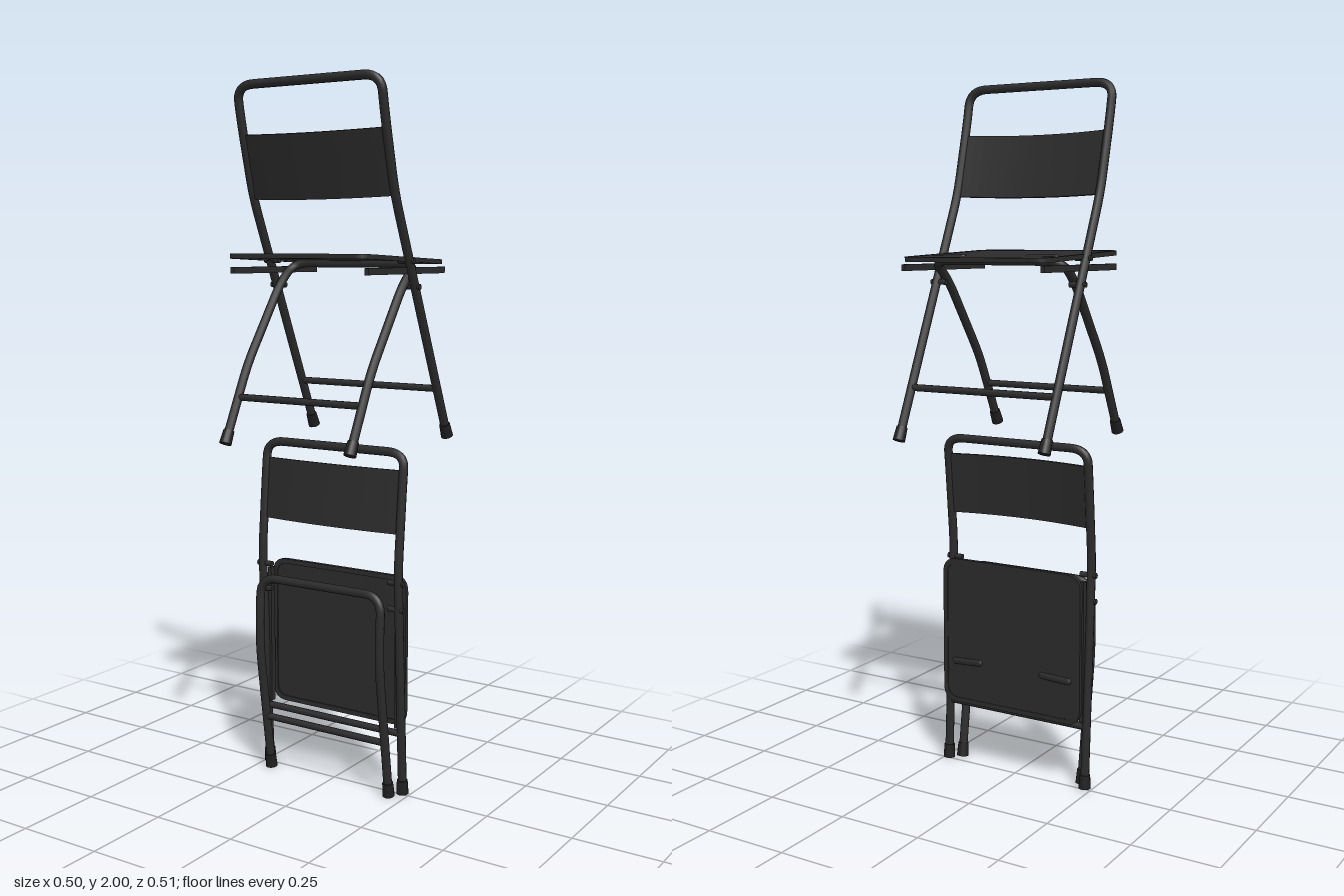
import * as THREE from 'three';

const V = (x, y, z) => new THREE.Vector3(x, y, z);
const steel = new THREE.MeshStandardMaterial({ color: 0x2b2b2b });
steel.name = 'charcoal steel';
const rubber = new THREE.MeshStandardMaterial({ color: 0x1f1f1f });
rubber.name = 'black rubber';

function add(parent, geometry, name, material = steel) {
  const mesh = new THREE.Mesh(geometry, material);
  mesh.name = name;
  parent.add(mesh);
  return mesh;
}

// Path of straight runs with rounded corners
function bentPath(points, radius) {
  const path = new THREE.CurvePath();
  let from = points[0];
  for (let i = 1; i < points.length - 1; i++) {
    const [a, p, b] = [points[i - 1], points[i], points[i + 1]];
    const start = p.clone().lerp(a, Math.min(0.49, radius / p.distanceTo(a)));
    const end = p.clone().lerp(b, Math.min(0.49, radius / p.distanceTo(b)));
    path.add(new THREE.LineCurve3(from, start));
    path.add(new THREE.QuadraticBezierCurve3(start, p, end));
    from = end;
  }
  path.add(new THREE.LineCurve3(from, points[points.length - 1]));
  return path;
}

// Inverted U of tube; profile runs from foot to top as [z, y]
function hoop(parent, x, profile, name) {
  const side = s => profile.map(([z, y]) => V(s * x, y, z));
  const path = bentPath([...side(-1), ...side(1).reverse()], 0.055);
  add(parent, new THREE.TubeGeometry(path, 220, 0.0125, 10), name);
  for (const s of [-1, 1]) {
    const [foot, next] = side(s);
    const dir = next.clone().sub(foot).normalize();
    const cap = add(parent, new THREE.CylinderGeometry(0.0155, 0.0175, 0.04, 14), name + 'Foot', rubber);
    cap.position.copy(foot).addScaledVector(dir, 0.02);
    cap.quaternion.setFromUnitVectors(V(0, 1, 0), dir);
  }
}

function crossBar(parent, width, y, z, name) {
  const bar = add(parent, new THREE.CylinderGeometry(0.01, 0.01, width, 10), name);
  bar.rotation.z = Math.PI / 2;
  bar.position.set(0, y, z);
}

function roundedRect(Kind, w, h, r) {
  const s = new Kind();
  s.moveTo(-w + r, -h);
  s.lineTo(w - r, -h);
  s.quadraticCurveTo(w, -h, w, -h + r);
  s.lineTo(w, h - r);
  s.quadraticCurveTo(w, h, w - r, h);
  s.lineTo(-w + r, h);
  s.quadraticCurveTo(-w, h, -w, h - r);
  s.lineTo(-w, -h + r);
  s.quadraticCurveTo(-w, -h, -w + r, -h);
  return s;
}

function makeSeat(railTilt) {
  const seat = new THREE.Group();
  seat.name = 'seat';
  const flat = (shape, depth, y) =>
    new THREE.ExtrudeGeometry(shape, { depth, bevelEnabled: false, curveSegments: 8 })
      .rotateX(-Math.PI / 2).translate(0, y, 0);
  add(seat, flat(roundedRect(THREE.Shape, 0.222, 0.21, 0.04), 0.007, -0.004), 'seatPanel');
  // rolled edge
  const rim = roundedRect(THREE.Shape, 0.229, 0.218, 0.045);
  rim.holes.push(roundedRect(THREE.Path, 0.215, 0.204, 0.035));
  add(seat, flat(rim, 0.013, -0.008), 'seatRim');
  for (const s of [-1, 1]) {
    // pressed ridge
    const ridge = add(seat, new THREE.CapsuleGeometry(0.01, 0.085, 4, 10), 'seatRidge');
    ridge.rotation.set(0, s * 0.05, Math.PI / 2);
    ridge.scale.x = 0.5;
    ridge.position.set(s * 0.148, 0.003, -0.09);
    // folding rail under the edge
    const rail = add(seat, new THREE.BoxGeometry(0.012, 0.018, 0.41), 'seatRail');
    rail.position.set(s * 0.219, -0.032, -0.01);
    rail.rotation.x = railTilt;
  }
  return seat;
}

// Bowed back panel
function makeBackrest(height) {
  const w = 0.225, t = 0.008, bow = 0.04;
  const s = new THREE.Shape();
  s.moveTo(-w, 0);
  s.quadraticCurveTo(0, -bow, w, 0);
  s.lineTo(w, t);
  s.quadraticCurveTo(0, t - bow, -w, t);
  s.closePath();
  return new THREE.ExtrudeGeometry(s, { depth: height, bevelEnabled: false, curveSegments: 16 })
    .rotateX(-Math.PI / 2);
}

function makeChair(c) {
  const chair = new THREE.Group();
  chair.name = c.name;
  hoop(chair, 0.232, c.back, 'backFrame');
  hoop(chair, 0.205, c.legs, 'legFrame');
  crossBar(chair, 0.46, ...c.backBar, 'backFrameBar');
  crossBar(chair, 0.41, ...c.legBar, 'legFrameBar');

  const rest = add(chair, makeBackrest(c.rest.height), 'backrest');
  rest.position.set(0, c.rest.y, c.rest.z);
  rest.rotation.x = c.rest.tilt;

  const seat = makeSeat(c.railTilt);
  seat.position.set(0, c.seat.y, c.seat.z);
  seat.rotation.x = c.seat.tilt;
  chair.add(seat);

  // hinge bolts
  for (const [y, z] of c.bolts) for (const s of [-1, 1]) {
    const bolt = add(chair, new THREE.CylinderGeometry(0.008, 0.008, 0.05, 10), 'hingeBolt');
    bolt.rotation.z = Math.PI / 2;
    bolt.position.set(s * 0.224, y, z);
  }
  return chair;
}

export function createModel() {
  const model = new THREE.Group();
  model.name = 'foldingChairs';
  model.add(makeChair({
    name: 'openChair',
    back: [[-0.24, 1.007], [0.065, 1.69], [0.118, 1.895], [0.136, 1.987]],
    legs: [[0.24, 1.007], [0.135, 1.22], [-0.03, 1.45], [-0.1, 1.502]],
    backBar: [1.15, -0.176], legBar: [1.132, 0.178],
    rest: { y: 1.68, z: 0.068, height: 0.18, tilt: 0.25 },
    seat: { y: 1.516, z: -0.014, tilt: -0.04 }, railTilt: 0.04,
    bolts: [[1.51, -0.015], [1.44, -0.046]],
  }));
  model.add(makeChair({
    name: 'foldedChair',
    back: [[0.0, 0.006], [0.033, 0.66], [0.012, 0.9], [0.002, 0.987]],
    legs: [[0.032, 0.004], [0.085, 0.38], [0.086, 0.48], [0.078, 0.595]],
    backBar: [0.185, 0.01], legBar: [0.167, 0.056],
    rest: { y: 0.762, z: 0.026, height: 0.178, tilt: -0.09 },
    seat: { y: 0.415, z: -0.024, tilt: -Math.PI / 2 }, railTilt: 0,
    bolts: [[0.625, 0.03], [0.55, 0.03]],
  }));
  return model;
}
